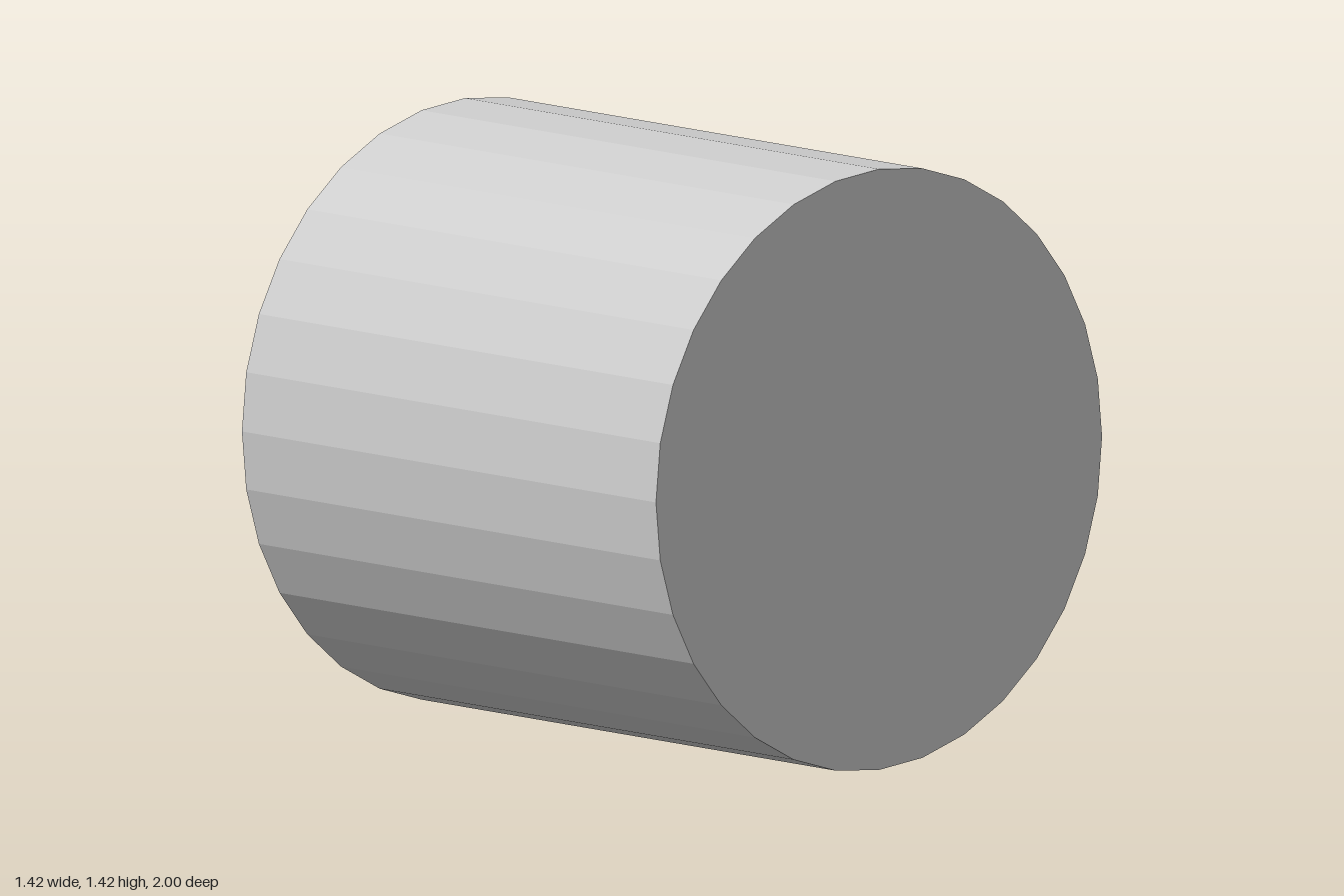
import * as THREE from 'three';

const RADIUS = 0.71;

// Round bar swept through rings of [z, y, tilt in degrees] in the x = 0 plane
function bar(rings, radius, sides) {
  const positions = [], indices = [];
  for (const [z, y, degrees] of rings) {
    const tilt = THREE.MathUtils.degToRad(degrees);
    for (let j = 0; j < sides; j++) {
      const a = (j / sides) * Math.PI * 2;
      const out = radius * Math.sin(a);
      positions.push(radius * Math.cos(a), y + out * Math.cos(tilt), z - out * Math.sin(tilt));
    }
  }
  for (let i = 0; i < rings.length - 1; i++) {
    for (let j = 0; j < sides; j++) {
      const a = i * sides + j, b = i * sides + (j + 1) % sides;
      indices.push(a, a + sides, b, b, a + sides, b + sides);
    }
  }
  const geometry = new THREE.BufferGeometry();
  geometry.setAttribute('position', new THREE.Float32BufferAttribute(positions, 3));
  geometry.setIndex(indices);
  geometry.computeVertexNormals();
  return geometry;
}

export function createModel() {
  const model = new THREE.Group();
  model.name = 'cylinderWithHandle';
  const grey = new THREE.MeshStandardMaterial({ color: 0xcccccc, flatShading: true });
  grey.name = 'light grey';

  // Faceted drum lying along z
  const drum = new THREE.CylinderGeometry(RADIUS, RADIUS, 1.42, 32);
  drum.rotateX(Math.PI / 2);
  const body = new THREE.Mesh(drum, grey);
  body.name = 'body';
  body.position.set(0, RADIUS, 0.29);
  model.add(body);

  // Bent handle on the back: the upper half is mirrored to make the lower half
  const upper = [
    [-0.41, 0.97, 0],
    [-0.73, 0.97, 2],
    [-0.812, 0.965, 17],
    [-0.905, 0.878, 62],
    [-0.918, 0.835, 87],
  ];
  const lower = upper.map(([z, y, tilt]) => [z, 2 * RADIUS - y, 180 - tilt]).reverse();
  const handle = new THREE.Mesh(bar([...upper, ...lower], 0.082, 32), grey);
  handle.name = 'handle';
  model.add(handle);

  return model;
}
